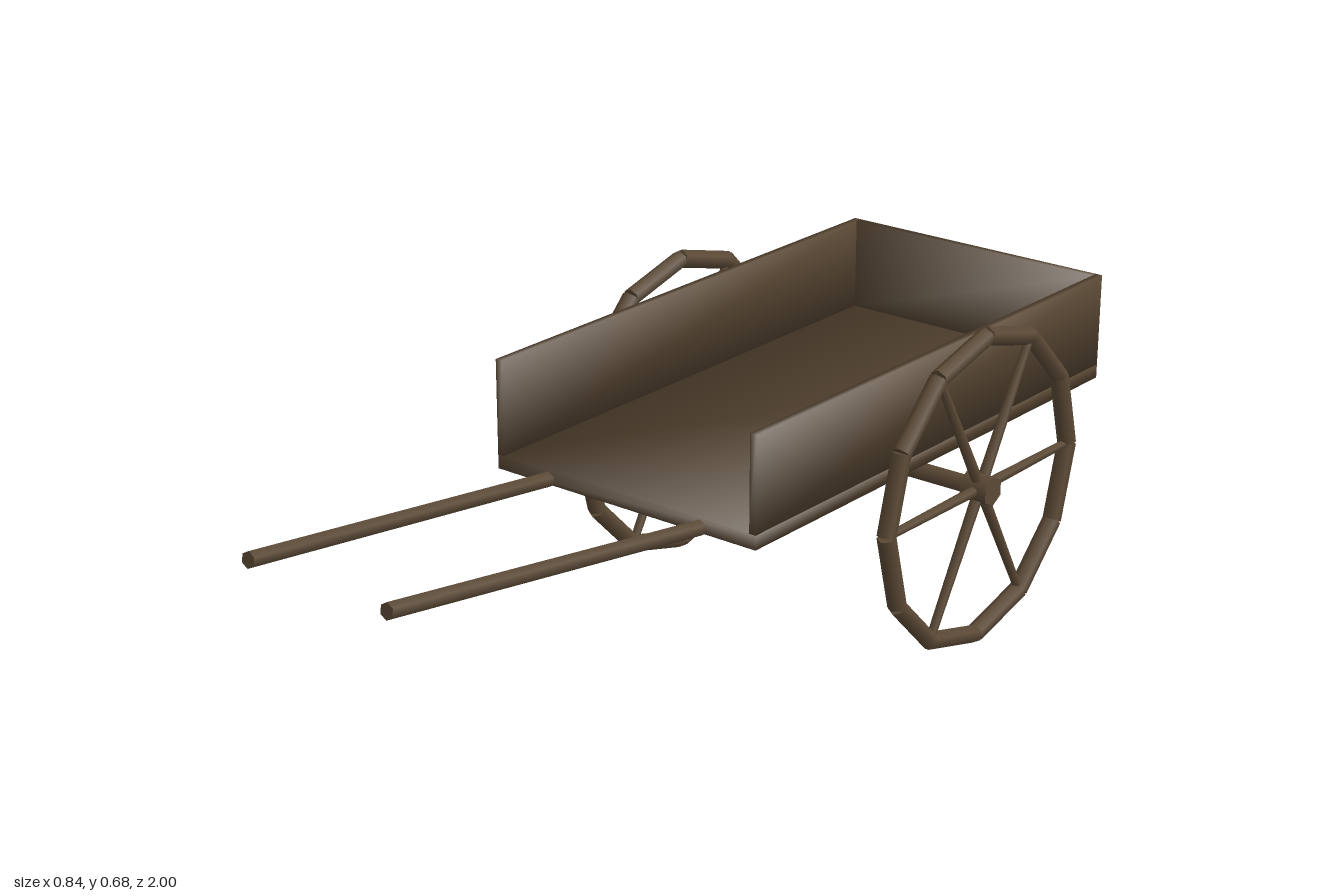
import * as THREE from 'three';

const wood = new THREE.MeshStandardMaterial({ color: 0x5b4935 });
wood.name = 'dark wood';

// Plank with softened corner normals, given by its min and max corners
function plank(name, min, max) {
  const size = max.map((v, i) => v - min[i]);
  const geo = new THREE.BoxGeometry(...size);
  const pos = geo.attributes.position, nor = geo.attributes.normal;
  const k = 1 / Math.sqrt(3);
  for (let i = 0; i < pos.count; i++) {
    nor.setXYZ(i, Math.sign(pos.getX(i)) * k, Math.sign(pos.getY(i)) * k, Math.sign(pos.getZ(i)) * k);
  }
  const mesh = new THREE.Mesh(geo, wood);
  mesh.name = name;
  mesh.position.set(...max.map((v, i) => (v + min[i]) / 2));
  return mesh;
}

// Six-sided rod from a to b
function rod(name, a, b, rA, rB = rA, turn = 0) {
  const from = new THREE.Vector3(...a), to = new THREE.Vector3(...b);
  const dir = to.clone().sub(from);
  const mesh = new THREE.Mesh(new THREE.CylinderGeometry(rB, rA, dir.length(), 6, 1, false, turn), wood);
  mesh.name = name;
  mesh.position.copy(from).add(to).multiplyScalar(0.5);
  mesh.quaternion.setFromUnitVectors(new THREE.Vector3(0, 1, 0), dir.normalize());
  return mesh;
}

function createWheel(name) {
  const wheel = new THREE.Group();
  wheel.name = name;
  const at = (angle, r) => [0, Math.cos(angle) * r, Math.sin(angle) * r];
  // Rim of twelve straight pieces
  for (let i = 0; i < 12; i++) {
    const a = i * Math.PI / 6;
    wheel.add(rod('rimPiece', at(a, 0.323), at(a + Math.PI / 6, 0.323), 0.0195));
  }
  // Six spokes, two of them level
  for (let i = 0; i < 6; i++) {
    const a = Math.PI / 6 + i * Math.PI / 3;
    wheel.add(rod('spoke', at(a, 0.01), at(a, 0.318), 0.012, 0.009));
  }
  wheel.add(rod('hub', [-0.031, 0, 0], [0.031, 0, 0], 0.032, 0.032, Math.PI / 6));
  return wheel;
}

export function createModel() {
  const cart = new THREE.Group();
  cart.name = 'handcart';

  // Open-fronted bed
  const w = 0.322, t = 0.015, back = -1, front = 0.19, floorTop = 0.44, top = 0.64;
  cart.add(plank('floor', [-w, 0.41, back], [w, floorTop, front]));
  cart.add(plank('rightWall', [-w, floorTop, back], [-w + t, top, front]));
  cart.add(plank('leftWall', [w - t, floorTop, back], [w, top, front]));
  cart.add(plank('backWall', [-w + t, floorTop, back], [w - t, top, back + t]));

  // Axle, wheels and pulling handles
  const axleY = 0.344, axleZ = -0.461;
  cart.add(rod('axle', [-0.388, axleY, axleZ], [0.388, axleY, axleZ], 0.02, 0.02, Math.PI / 6));
  for (const side of [-1, 1]) {
    const label = side > 0 ? 'left' : 'right';
    const wheel = createWheel(label + 'Wheel');
    wheel.position.set(side * 0.388, axleY, axleZ);
    cart.add(wheel);
    cart.add(rod(label + 'Handle', [side * 0.19, 0.42, 0.185], [side * 0.168, 0.532, 0.998], 0.0165));
  }
  return cart;
}
